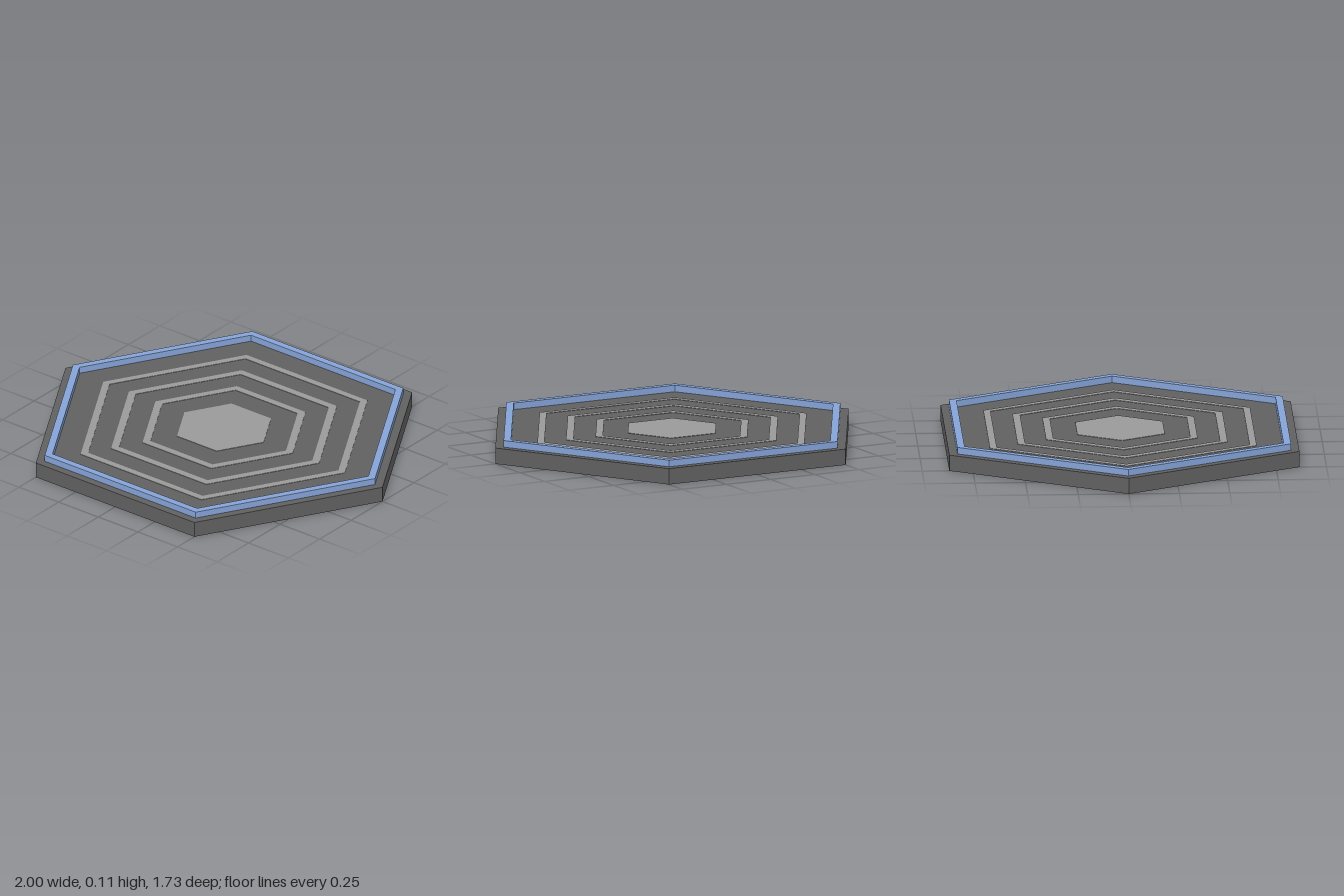
import * as THREE from 'three';

// Hexagon outline with corners on the x axis
function hexPoints(radius) {
  return Array.from({ length: 6 }, (_, i) => {
    const a = (i * Math.PI) / 3;
    return new THREE.Vector2(radius * Math.cos(a), radius * Math.sin(a));
  });
}

// Upright hexagonal prism, hollow when an inner radius is given
function hexPrism(name, material, outer, inner, bottom, height) {
  const shape = new THREE.Shape(hexPoints(outer));
  if (inner > 0) shape.holes.push(new THREE.Path(hexPoints(inner).reverse()));
  const geometry = new THREE.ExtrudeGeometry(shape, { depth: height, bevelEnabled: false });
  geometry.rotateX(-Math.PI / 2);
  geometry.translate(0, bottom, 0);
  const mesh = new THREE.Mesh(geometry, material);
  mesh.name = name;
  return mesh;
}

export function createModel() {
  const darkGrey = new THREE.MeshStandardMaterial({ name: 'dark grey', color: 0x606060 });
  const lightGrey = new THREE.MeshStandardMaterial({ name: 'light grey', color: 0x999999 });
  const blue = new THREE.MeshStandardMaterial({ name: 'blue', color: 0x85a3d6 });

  const top = 0.08;
  const model = new THREE.Group();
  model.name = 'hexagonalPlatform';

  // Slab and raised rim
  model.add(hexPrism('base', darkGrey, 1, 0, 0, top));
  model.add(hexPrism('rim', blue, 0.953, 0.911, top, 0.033));

  // Thin inlays: three concentric bands and a centre plate
  const inlays = new THREE.Group();
  inlays.name = 'inlays';
  [[0.762, 0.722], [0.6, 0.557], [0.433, 0.391]].forEach(([outer, inner], i) => {
    inlays.add(hexPrism(`band${i + 1}`, lightGrey, outer, inner, top, 0.002));
  });
  inlays.add(hexPrism('centrePlate', lightGrey, 0.25, 0, top, 0.002));
  model.add(inlays);

  return model;
}
